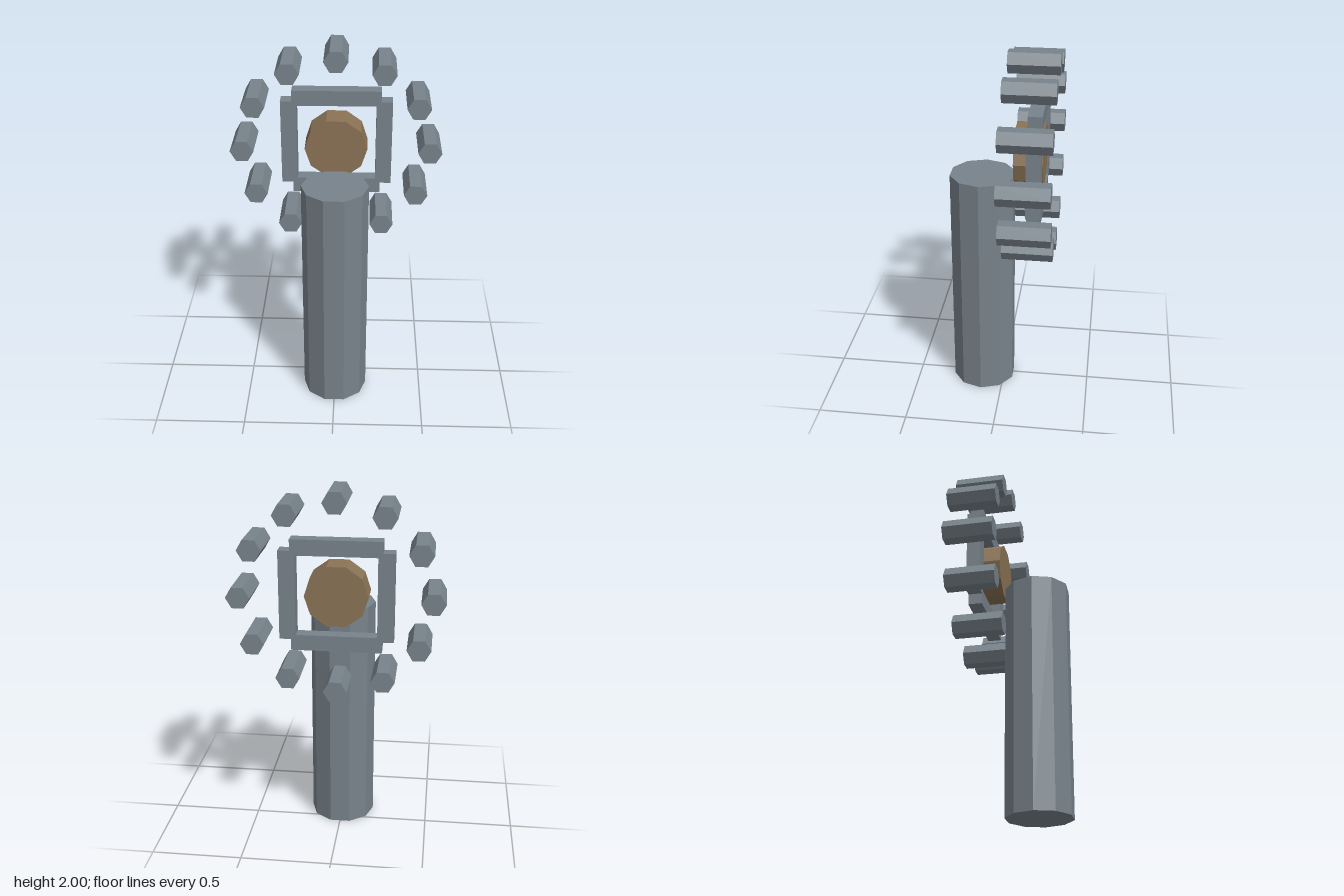
import * as THREE from 'three';

const material = (name, color) => {
  const m = new THREE.MeshStandardMaterial({ color, flatShading: true });
  m.name = name;
  return m;
};

export function createModel() {
  const model = new THREE.Group();
  const steel = material('steel grey', 0x78838b);
  const wood = material('wood brown', 0x8b7355);

  const add = (name, geometry, mat, x, y, z) => {
    const mesh = new THREE.Mesh(geometry, mat);
    mesh.name = name;
    mesh.position.set(x, y, z);
    model.add(mesh);
    return mesh;
  };
  // Prism with one corner pointing along +x
  const prism = (radius, length, sides) =>
    new THREE.CylinderGeometry(radius, radius, length, sides, 1, false, Math.PI / 2);

  const hubY = 1.44;

  // Upright post
  add('post', prism(0.181, 1.312, 10), steel, 0, 0.656, 0.118);

  // Wooden hub, facing forward
  add('hub', prism(0.169, 0.155, 10).rotateX(Math.PI / 2), wood, 0, hubY, -0.1425);

  // Square frame around the hub
  for (const s of [-1, 1]) {
    add(s > 0 ? 'frameTop' : 'frameBottom',
      new THREE.BoxGeometry(0.482, 0.085, 0.076), steel, 0, hubY + s * 0.258, -0.183);
    add(s > 0 ? 'frameLeft' : 'frameRight',
      new THREE.BoxGeometry(0.087, 0.48, 0.076), steel, s * 0.259, hubY, -0.183);
  }

  // Ring of twelve hexagonal pegs
  const pegGeometry = prism(0.064, 0.272, 6).rotateX(Math.PI / 2);
  for (let i = 0; i < 12; i++) {
    const a = (i / 12) * Math.PI * 2;
    add('peg' + (i + 1), pegGeometry, steel,
      Math.sin(a) * 0.505, hubY + Math.cos(a) * 0.505, -0.156);
  }
  return model;
}
